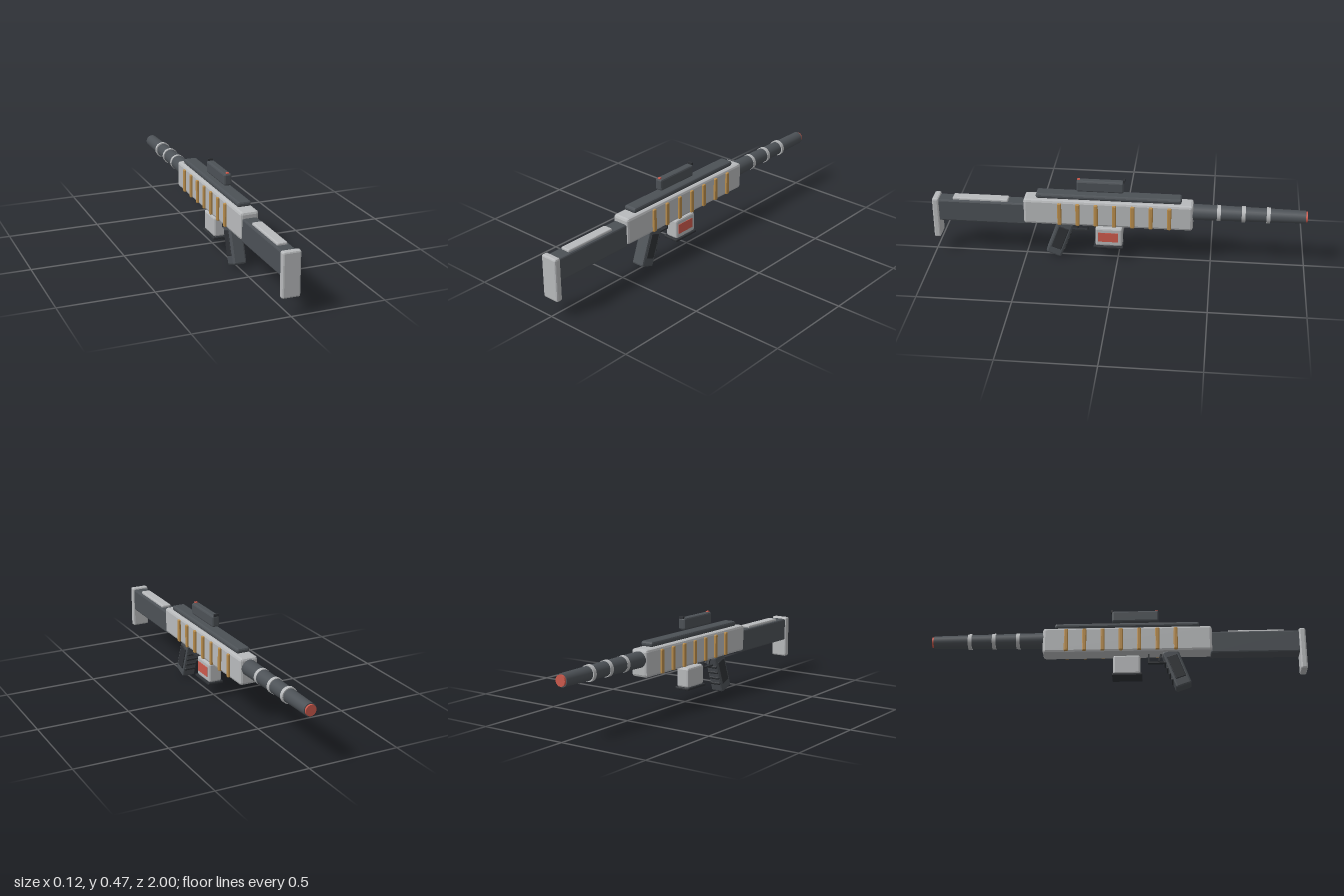
import * as THREE from 'three';
import { RoundedBoxGeometry } from 'three/addons/geometries/RoundedBoxGeometry.js';

const paint = (name, color) => {
  const m = new THREE.MeshStandardMaterial({ color });
  m.name = name;
  return m;
};

export function createModel() {
  const model = new THREE.Group();
  model.name = 'rifle';
  const lightGrey = paint('light grey', 0xb8babc);
  const slate = paint('slate', 0x4c5156);
  const charcoal = paint('charcoal', 0x2f3236);
  const brass = paint('brass', 0xb98d4c);
  const red = paint('red', 0xcc5a4c);

  const add = (name, geometry, material, x, y, z, parent = model) => {
    const mesh = new THREE.Mesh(geometry, material);
    mesh.name = name;
    mesh.position.set(x, y, z);
    parent.add(mesh);
    return mesh;
  };

  // Box with chamfered edges, given by its size and centre
  const block = (name, material, size, pos, bevel = 0.008, parent = model) => {
    const g = new RoundedBoxGeometry(...size, 1, bevel);
    g.computeVertexNormals();
    return add(name, g, material, ...pos, parent);
  };
  const box = (name, material, size, pos, parent = model) =>
    add(name, new THREE.BoxGeometry(...size), material, ...pos, parent);

  // Stock
  block('buttPlate', lightGrey, [0.096, 0.235, 0.036], [0, 0.2125, 0.982], 0.009);
  block('stock', slate, [0.08, 0.125, 0.48], [0, 0.258, 0.735]);
  block('cheekRest', lightGrey, [0.054, 0.022, 0.3], [0, 0.322, 0.74], 0.006);

  // Receiver with its top rail
  block('receiver', lightGrey, [0.1, 0.146, 0.905], [0, 0.28, 0.052], 0.014);
  block('topRail', slate, [0.074, 0.028, 0.775], [0, 0.37, 0.05], 0.01);

  // Brass ribs on both sides
  for (let i = 0; i < 7; i++) {
    for (const side of [1, -1]) {
      block('rib', brass, [0.016, 0.128, 0.022], [side * 0.0535, 0.277, 0.31 - i * 0.0975], 0.005);
    }
  }

  // Scope with front post and red rear dot
  block('scope', slate, [0.042, 0.064, 0.252], [0, 0.43, 0.095], 0.009);
  box('frontSight', charcoal, [0.028, 0.014, 0.01], [0, 0.465, -0.031]);
  block('rearDot', red, [0.016, 0.008, 0.016], [0, 0.464, 0.21], 0.003);

  // Tapering barrel, bands and muzzle
  const tube = (name, material, rBack, rFront, zBack, zFront) => {
    const g = new THREE.CylinderGeometry(rBack, rFront, zBack - zFront, 24);
    g.rotateX(Math.PI / 2);
    return add(name, g, material, 0, 0.3, (zBack + zFront) / 2);
  };
  tube('barrel', slate, 0.043, 0.034, -0.39, -0.99);
  for (const z of [-0.535, -0.665, -0.795]) {
    tube('barrelBand', lightGrey, 0.0435, 0.0425, z + 0.01, z - 0.01);
  }
  tube('muzzle', red, 0.029, 0.029, -0.98, -1);

  // Raked grip with side panels and finger ridges
  const grip = new THREE.Group();
  grip.name = 'grip';
  grip.position.set(0, 0.116, 0.313);
  grip.rotation.x = -0.35;
  model.add(grip);
  block('gripBody', slate, [0.074, 0.22, 0.088], [0, 0, 0], 0.01, grip);
  for (const side of [1, -1]) {
    block('gripPanel', charcoal, [0.01, 0.135, 0.056], [side * 0.0365, 0.005, 0], 0.003, grip);
  }
  for (let i = 0; i < 4; i++) {
    block('fingerRidge', charcoal, [0.066, 0.014, 0.014], [0, 0.05 - i * 0.035, -0.044], 0.005, grip);
  }

  // Trigger and guard
  box('guardBase', charcoal, [0.02, 0.008, 0.1], [0, 0.159, 0.211]);
  box('guardFront', charcoal, [0.02, 0.056, 0.008], [0, 0.183, 0.165]);
  const trigger = box('trigger', charcoal, [0.012, 0.042, 0.01], [0, 0.188, 0.225]);
  trigger.rotation.x = 0.35;

  // Magazine with base plate and red window on the left
  block('magazine', lightGrey, [0.074, 0.108, 0.145], [0, 0.137, 0.048], 0.01);
  block('magazineBase', charcoal, [0.09, 0.014, 0.16], [0, 0.078, 0.05], 0.004);
  box('magazineWindow', red, [0.006, 0.054, 0.108], [0.037, 0.138, 0.051]);

  return model;
}
